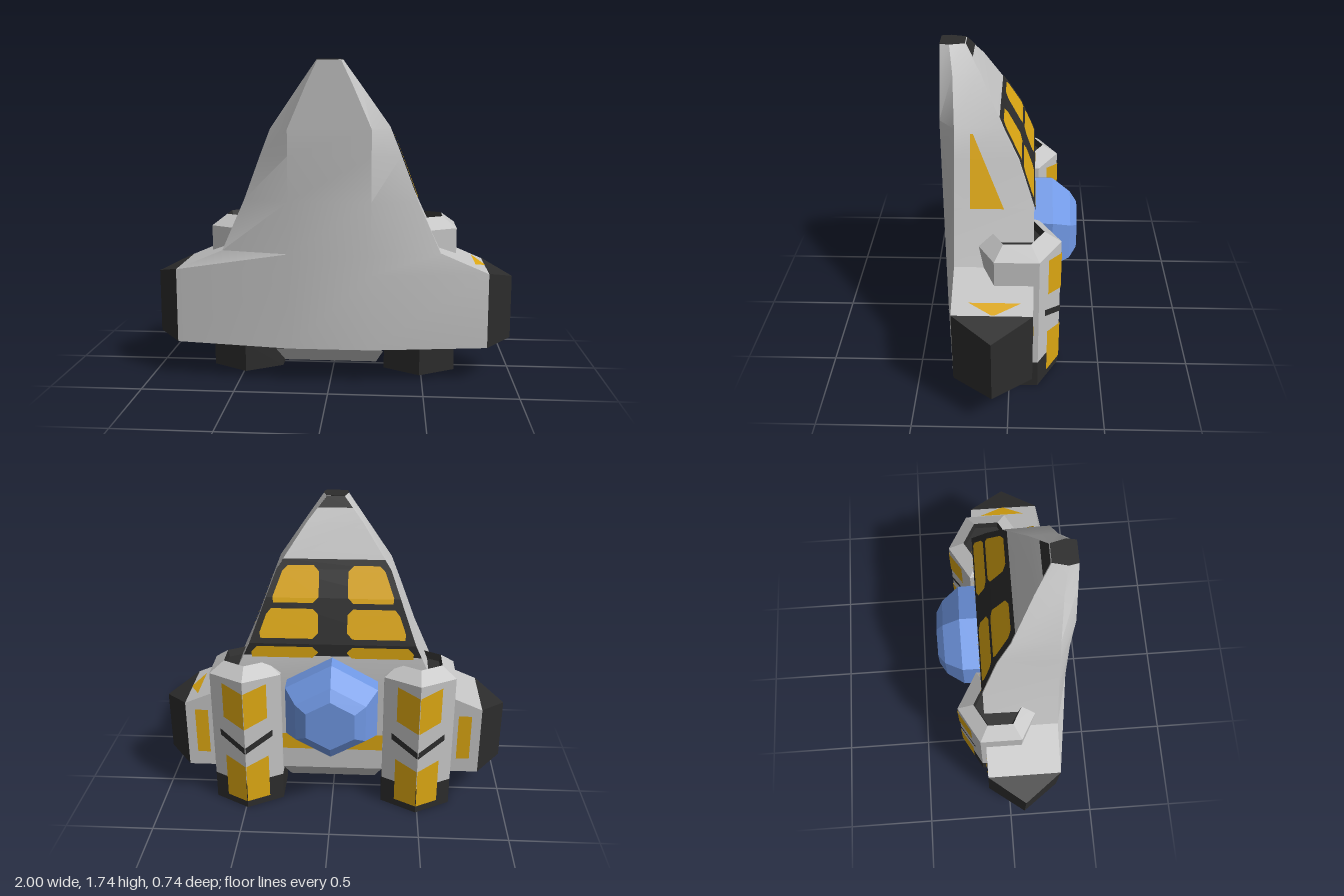
import * as THREE from 'three';
import { toCreasedNormals } from 'three/addons/utils/BufferGeometryUtils.js';

const mat = (name, color, side = THREE.FrontSide) => {
  const m = new THREE.MeshStandardMaterial({ color, side });
  m.name = name;
  return m;
};

// Hull sections: y, belly half width, side half width, side z, back half width, back z
const SECTIONS = [
  [0.2, 0.22, 0.85, 0.286, 0.85, -0.125],
  [0.61, 0.22, 0.85, 0.286, 0.85, -0.125],
  [0.72, 0.22, 0.59, 0.286, 0.59, -0.125],
  [1.0, 0.22, 0.465, 0.286, 0.46, -0.125],
  [1.24, 0.22, 0.375, 0.286, 0.37, -0.04],
  [1.38, 0.22, 0.32, 0.286, 0.315, 0.035],
  [1.61, 0.12, 0.16, 0.3, 0.155, 0.155],
  [1.735, 0.06, 0.07, 0.32, 0.05, 0.24],
];
const BELLY = 0.37;

// Value of one section column at height y
function at(y, col) {
  let i = 0;
  while (i < SECTIONS.length - 2 && y > SECTIONS[i + 1][0]) i++;
  const a = SECTIONS[i], b = SECTIONS[i + 1];
  return THREE.MathUtils.lerp(a[col], b[col], (y - a[0]) / (b[0] - a[0]));
}

function geometryFrom(tris) {
  const g = new THREE.BufferGeometry();
  g.setAttribute('position', new THREE.Float32BufferAttribute(tris.flat(), 3));
  g.computeVertexNormals();
  return g;
}

// Skin between rings that run counter-clockwise seen from the last ring
function loft(rings, capStart, capEnd) {
  const t = [], n = rings[0].length;
  for (let r = 0; r < rings.length - 1; r++)
    for (let i = 0; i < n; i++) {
      const j = (i + 1) % n, A = rings[r], B = rings[r + 1];
      t.push(A[i], A[j], B[j], A[i], B[j], B[i]);
    }
  const last = rings[rings.length - 1];
  for (let i = 1; i < n - 1; i++) {
    if (capStart) t.push(rings[0][0], rings[0][i + 1], rings[0][i]);
    if (capEnd) t.push(last[0], last[i], last[i + 1]);
  }
  return geometryFrom(t);
}

// Thin painted strip through rows of [left, right] points
function strip(rows) {
  const t = [];
  for (let i = 0; i < rows.length - 1; i++) {
    const [a, b] = rows[i], [c, d] = rows[i + 1];
    t.push(a, b, d, a, d, c);
  }
  return geometryFrom(t);
}

// Heights for a strip, including the hull's own bends
const heights = (y0, y1, extra = []) =>
  [y0, y1, ...extra, ...SECTIONS.map((s) => s[0]).filter((y) => y > y0 && y < y1)].sort((a, b) => a - b);

export function createModel() {
  const grey = mat('hullGrey', 0xc4c4c4);
  const dark = mat('charcoal', 0x2c2c2c, THREE.DoubleSide);
  const gold = mat('gold', 0xdba612, THREE.DoubleSide);
  const blue = mat('canopyBlue', 0x7098e4);
  const red = mat('ventRed', 0x7a2408, THREE.DoubleSide);

  const model = new THREE.Group();
  const add = (parent, name, geo, m) => {
    const mesh = new THREE.Mesh(geo, m);
    mesh.name = name;
    parent.add(mesh);
    return mesh;
  };

  // Hull and wings in one skin
  const rings = SECTIONS.map(([y, b, s, zs, d, zd]) => [
    [-b, y, BELLY], [b, y, BELLY], [s, y, zs], [d, y, zd], [-d, y, zd], [-s, y, zs],
  ]);
  add(model, 'hull', toCreasedNormals(loft(rings, true, false), 0.4), grey);

  // Nose cap with a short dark lip down the back
  const top = rings[rings.length - 1];
  add(model, 'noseCap', loft([top, top.map(([x, , z]) => [x, 1.738, z])], false, true), dark);
  const back = (y, x) => [x, y, at(y, 5) - 0.005];
  add(model, 'noseLip', strip([1.68, 1.735].map((y) => [back(y, -at(y, 4)), back(y, at(y, 4))])), dark);

  // Back panel with six gold cells
  add(model, 'backPanel', strip(heights(0.93, 1.43).map((y) => [back(y, -at(y, 4)), back(y, at(y, 4))])), dark);
  const cells = [[0.92, 0.985], [1.03, 1.185], [1.215, 1.4]];
  for (const side of [-1, 1])
    for (const [y0, y1] of cells) {
      const c = 0.03;
      const rows = heights(y0, y1, [y0 + c, y1 - c]).map((y) => {
        const cut = Math.max(0, c - Math.min(y - y0, y1 - y));
        return [0.08 + cut, at(y, 4) - 0.035 - cut * 0.5].map((x) => {
          const p = back(y, side * x);
          p[2] -= 0.004;
          return p;
        });
      });
      add(model, 'backPanelCell', strip(rows), gold);
    }

  // Gold marks on the left flank and left wing top
  const flank = heights(1.0, 1.36).map((y) => {
    const x = at(y, 2) + 0.005;
    return [[x, y, 0.205], [x, y, THREE.MathUtils.lerp(0.03, 0.19, (y - 1) / 0.36)]];
  });
  add(model, 'flankMark', strip(flank), gold);
  add(model, 'wingTopMark', strip([
    [[0.785, 0.643, 0.2], [0.785, 0.643, -0.065]],
    [[0.848, 0.616, 0.085], [0.848, 0.616, 0.065]],
  ]), gold);

  // Wing tips and back wing stripes
  const tipRing = (x0, x1, yOut, yIn) => [[x0, yIn, 0.286], [x1, yOut, 0.08], [x0, yIn, -0.125]];
  for (const side of [-1, 1]) {
    const ringsTip = [tipRing(0.85, 1, 0.2, 0.2), tipRing(0.85, 1, 0.555, 0.612)]
      .map((r) => r.map(([x, y, z]) => [side * x, y, z]));
    if (side < 0) ringsTip.forEach((r) => r.reverse());
    add(model, 'wingTip', loft(ringsTip, true, true), dark);
    add(model, 'wingStripe', strip([0.29, 0.57].map((y) =>
      [[side * 0.72, y, -0.13], [side * 0.795, y, -0.13]])), gold);
  }
  add(model, 'backBand', strip([0.33, 0.43].map((y) => [[-0.29, y, -0.13], [0.29, y, -0.13]])), gold);

  // Tail block with a barred vent underneath
  const rect = (x, y, z0, z1) => [[-x, y, z1], [x, y, z1], [x, y, z0], [-x, y, z0]];
  add(model, 'tailBlock', loft([rect(0.25, 0.11, -0.06, 0.286), rect(0.29, 0.2, -0.125, BELLY)], true, false), grey);
  const flat = (x0, x1, z0, z1, y) => strip([[[x0, y, z0], [x1, y, z0]], [[x0, y, z1], [x1, y, z1]]]);
  add(model, 'tailVent', flat(-0.22, 0.22, -0.03, 0.22, 0.107), red);
  for (let i = 0; i < 5; i++) {
    const x = -0.2 + i * 0.1;
    add(model, 'tailVentBar', flat(x - 0.012, x + 0.012, -0.03, 0.22, 0.103), dark);
  }
  add(model, 'tailVentBar', flat(-0.22, 0.22, 0.085, 0.105, 0.103), dark);

  // Six-sided canopy, built along its axis and turned to face back
  const dome = [[0.285, 0.1, 0], [0.285, 0.23, 0], [0.215, 0.33, 0.016], [0.148, 0.37, 0.016]];
  const domeRings = dome.map(([r, z, drop]) => Array.from({ length: 6 }, (_, i) => {
    const a = (i * Math.PI) / 3;
    return [r * Math.sin(a) * 1.04, 0.635 - drop + r * Math.cos(a), -z];
  }));
  add(model, 'canopy', loft(domeRings, false, true), blue);

  // Engine pods
  const hex = (profile) => {
    const g = new THREE.LatheGeometry(profile.map(([r, y]) => new THREE.Vector2(r, y)), 6).toNonIndexed();
    g.computeVertexNormals();
    return g;
  };
  for (const side of [-1, 1]) {
    const pod = new THREE.Group();
    pod.name = 'enginePod';
    pod.position.set(side * 0.49, 0, -0.04);
    model.add(pod);
    add(pod, 'podBody', hex([[0.23, 0.165], [0.23, 0.82], [0.14, 0.88]]), grey);
    add(pod, 'podIntake', hex([[0.14, 0.88], [0.13, 0.84], [0, 0.84]]), dark);
    add(pod, 'podBase', hex([[0.15, 0], [0.23, 0], [0.23, 0.165]]), dark);
    add(pod, 'exhaustWall', hex([[0.14, 0.08], [0.15, 0]]), grey);
    add(pod, 'exhaustGrille', hex([[0, 0.08], [0.14, 0.08]]), red);
    for (const x of [-0.06, 0, 0.06])
      add(pod, 'exhaustBar', flat(x - 0.009, x + 0.009, -0.1, 0.1, 0.075), dark);

    // Gold panels and dark chevron on the two back faces
    const paint = (name, m, reach, near, far) => {
      for (const s of [-1, 1]) {
        const p = (t, y) => [s * 0.2 * t, y, -0.235 + 0.115 * t];
        add(pod, name, strip(near.map((y, i) => [p(0.01, y), p(reach, far[i])])), m);
      }
    };
    paint('podUpperPanel', gold, 0.62, [0.525, 0.75], [0.57, 0.785]);
    paint('podChevron', dark, 0.75, [0.365, 0.405], [0.445, 0.485]);
    paint('podLowerPanel', gold, 0.62, [0.045, 0.28], [0.045, 0.32]);
  }
  return model;
}
